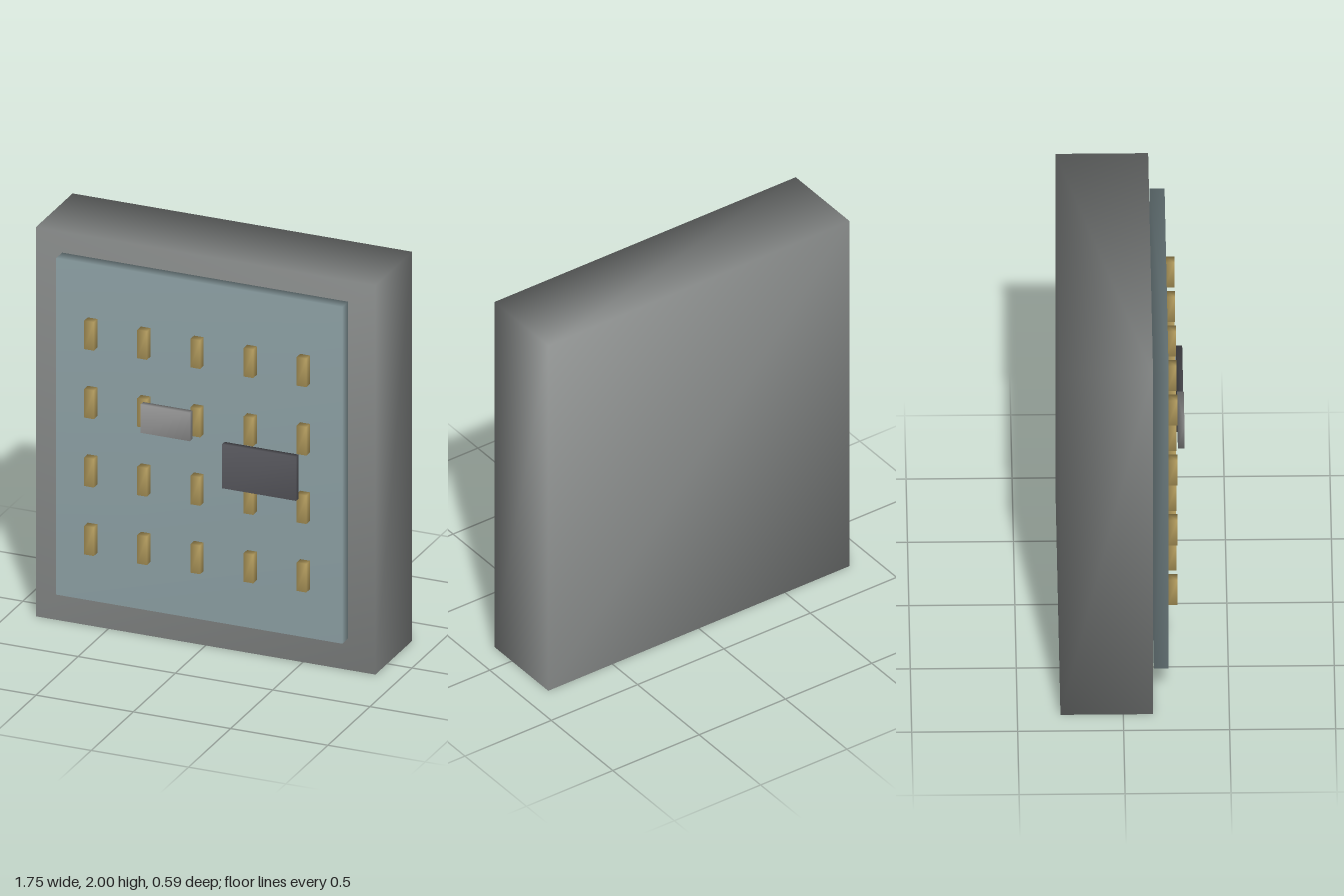
import * as THREE from 'three';
import { mergeVertices } from 'three/addons/utils/BufferGeometryUtils.js';

// Box with shared corners, so shading flows smoothly across its edges
function softBox(w, h, d) {
  const geometry = new THREE.BoxGeometry(w, h, d);
  geometry.deleteAttribute('normal');
  geometry.deleteAttribute('uv');
  const welded = mergeVertices(geometry);
  welded.computeVertexNormals();
  return welded;
}

const paint = (color) => new THREE.MeshStandardMaterial({ color });

export function createModel() {
  const model = new THREE.Group();
  model.name = 'pegBoard';

  function addBox(parent, name, size, position, material) {
    const mesh = new THREE.Mesh(softBox(...size), material);
    mesh.name = name;
    mesh.position.set(...position);
    parent.add(mesh);
  }

  // Thick backing block and the raised panel in front of it
  addBox(model, 'backingBlock', [1.745, 2, 0.437], [0, 1, -0.078], paint(0x8c8f8e));
  addBox(model, 'frontPanel', [1.47, 1.73, 0.07], [0, 1.03, 0.181], paint(0x90a4a8));

  // Grid of upright pegs, five across and four down
  const pegs = new THREE.Group();
  pegs.name = 'pegs';
  model.add(pegs);
  const brass = paint(0xb8a060);
  for (let row = 0; row < 4; row++) {
    for (let col = 0; col < 5; col++) {
      addBox(pegs, 'peg', [0.05, 0.146, 0.045],
        [-0.002 + (col - 2) * 0.273, 1.545 - row * 0.3517, 0.237], brass);
    }
  }

  // Two plates held just in front of the pegs
  addBox(model, 'smallPlate', [0.254, 0.146, 0.031], [-0.14, 1.182, 0.281], paint(0x999999));
  addBox(model, 'darkPlate', [0.38, 0.226, 0.031], [0.342, 1.009, 0.281], paint(0x5a5a60));

  return model;
}
